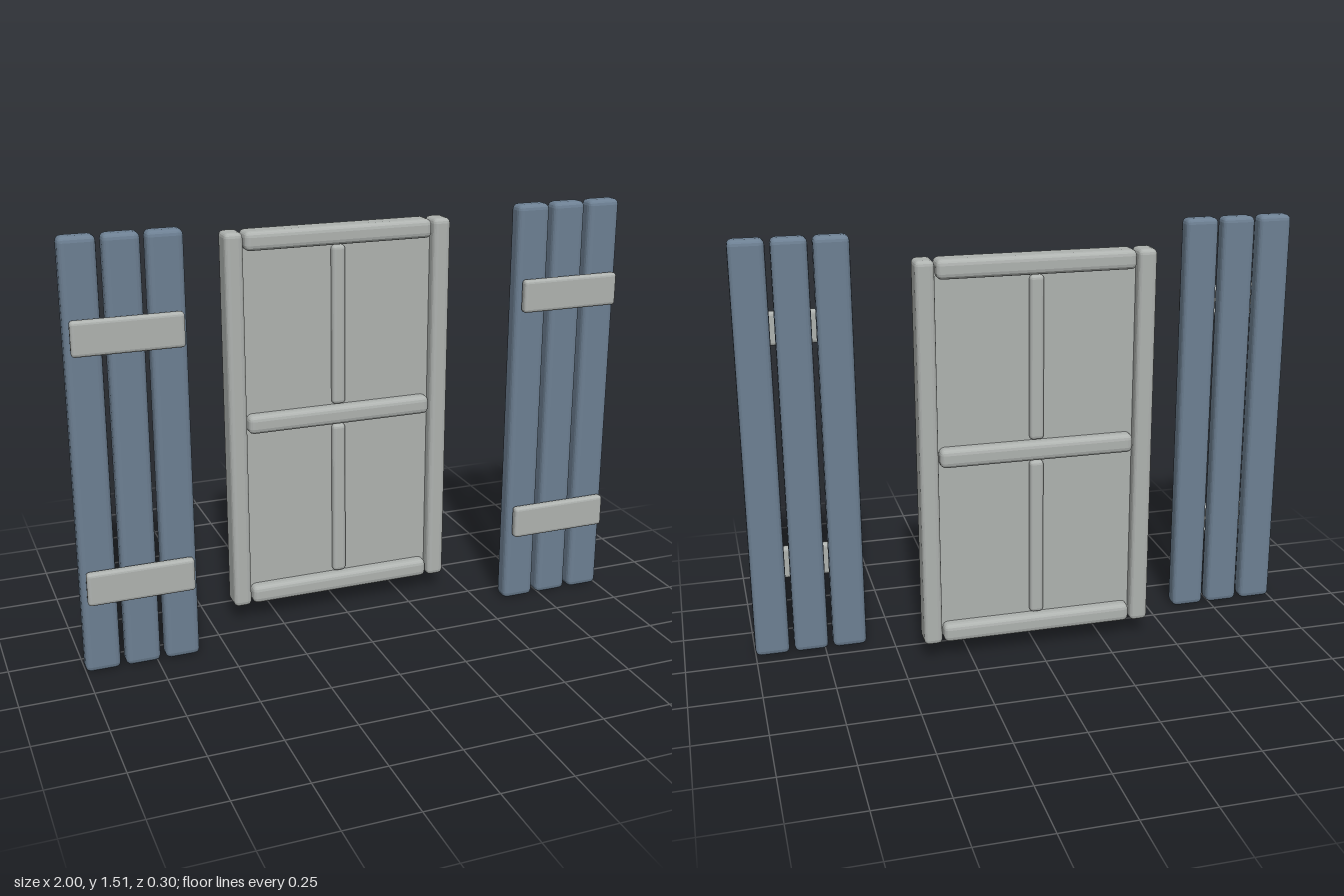
import * as THREE from 'three';
import { RoundedBoxGeometry } from 'three/addons/geometries/RoundedBoxGeometry.js';

const grey = new THREE.MeshStandardMaterial({ color: 0xafb3b0 });
grey.name = 'weathered grey';
const blue = new THREE.MeshStandardMaterial({ color: 0x6d8093 });
blue.name = 'slate blue';

// Board with faceted, bevelled edges, given by its min and max corners
function board(parent, name, material, [x0, y0, z0], [x1, y1, z1], bevel) {
  const geometry = new RoundedBoxGeometry(x1 - x0, y1 - y0, z1 - z0, 2, bevel);
  geometry.computeVertexNormals();
  const mesh = new THREE.Mesh(geometry, material);
  mesh.name = name;
  mesh.position.set((x0 + x1) / 2, (y0 + y1) / 2, (z0 + z1) / 2);
  parent.add(mesh);
}

// Three upright planks held by two battens
function shutter(name, x) {
  const group = new THREE.Group();
  group.name = name;
  for (const px of [-0.14, 0, 0.14]) {
    board(group, 'plank', blue, [px - 0.061, 0, 0.045], [px + 0.061, 1.51, 0.113], 0.02);
  }
  for (const y of [0.325, 1.19]) {
    board(group, 'batten', grey, [-0.185, y - 0.059, 0.116], [0.185, y + 0.059, 0.15], 0.012);
  }
  group.position.x = x;
  return group;
}

function windowFrame() {
  const group = new THREE.Group();
  group.name = 'window';
  const back = -0.15, front = -0.057;

  // Side posts
  for (const s of [-1, 1]) {
    const x = s * 0.385;
    board(group, 'sidePost', grey, [x - 0.033, 0.065, back], [x + 0.033, 1.45, front], 0.018);
  }
  // Bottom, middle and top rails
  for (const y of [0.1, 0.76, 1.416]) {
    board(group, 'rail', grey, [-0.346, y - 0.034, back], [0.346, y + 0.034, front], 0.02);
  }
  // Slim upright bars between the rails
  for (const [y0, y1] of [[0.137, 0.719], [0.797, 1.378]]) {
    board(group, 'uprightBar', grey, [-0.025, y0, -0.13], [0.025, y1, -0.077], 0.014);
  }
  // Pane panel
  const pane = new THREE.Mesh(new THREE.BoxGeometry(0.72, 1.33, 0.01), grey);
  pane.name = 'pane';
  pane.position.set(0, 0.758, -0.1035);
  group.add(pane);
  return group;
}

export function createModel() {
  const model = new THREE.Group();
  model.name = 'shutteredWindow';
  model.add(windowFrame(), shutter('rightShutter', -0.799), shutter('leftShutter', 0.799));
  return model;
}
